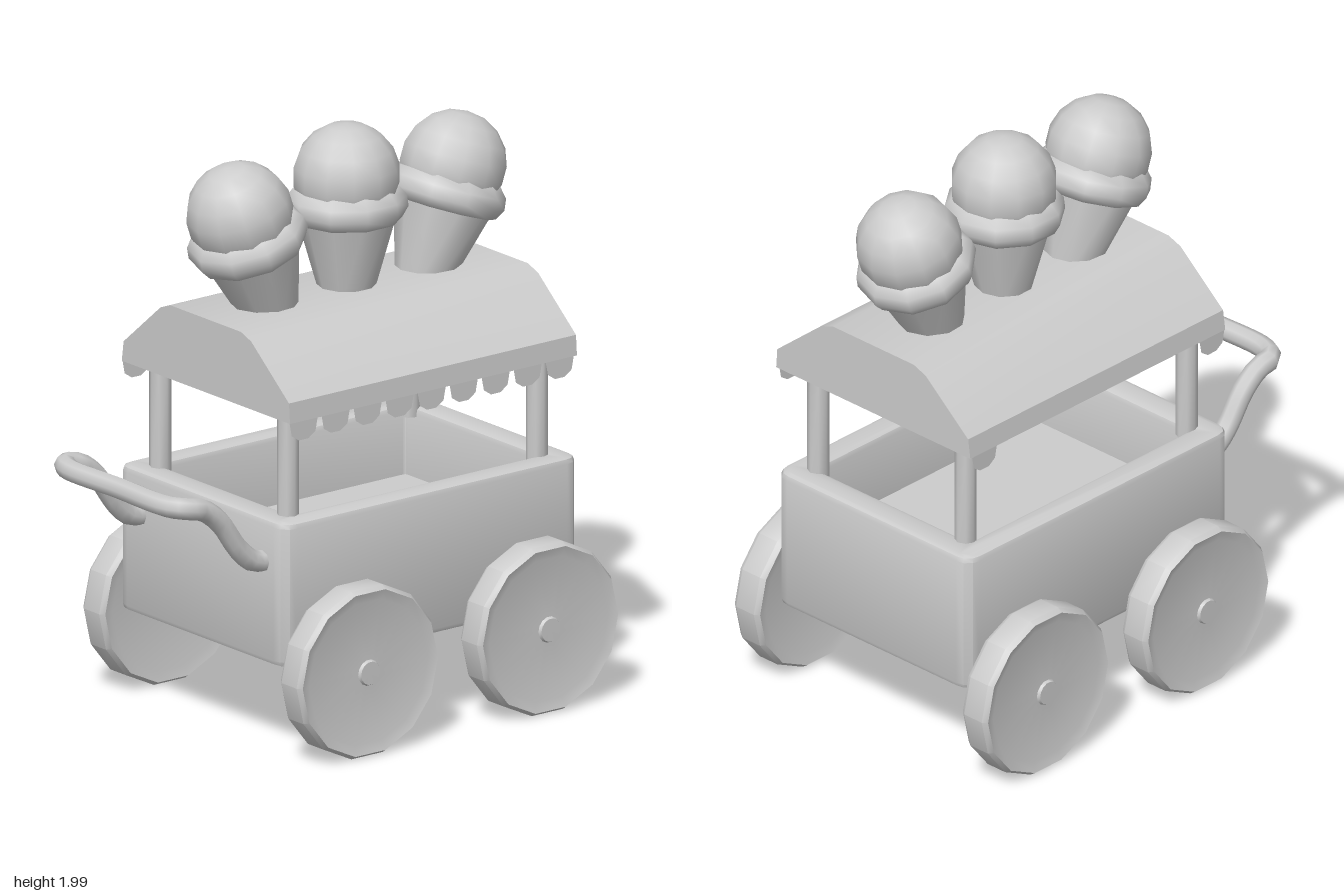
import * as THREE from 'three';
import { toCreasedNormals } from 'three/addons/utils/BufferGeometryUtils.js';

const V = (x, y, z) => new THREE.Vector3(x, y, z);

export function createModel() {
  const model = new THREE.Group();
  model.name = 'iceCreamCart';
  const grey = new THREE.MeshStandardMaterial({ color: 0xcccccc });
  grey.name = 'plain grey';
  const greySheet = new THREE.MeshStandardMaterial({ color: 0xcccccc, side: THREE.DoubleSide });
  greySheet.name = 'plain grey sheet';

  const add = (name, geo, x = 0, y = 0, z = 0, parent = model, mat = grey) => {
    const mesh = new THREE.Mesh(geo, mat);
    mesh.name = name;
    mesh.position.set(x, y, z);
    parent.add(mesh);
    return mesh;
  };
  const crease = (geo, angle = 0.6) => toCreasedNormals(geo, angle);

  // Rounded rectangle outline centred on the origin
  const roundRect = (w, h, r, Type) => {
    const s = new Type(), a = w / 2, b = h / 2;
    s.moveTo(-a + r, -b);
    s.lineTo(a - r, -b);
    s.quadraticCurveTo(a, -b, a, -b + r);
    s.lineTo(a, b - r);
    s.quadraticCurveTo(a, b, a - r, b);
    s.lineTo(-a + r, b);
    s.quadraticCurveTo(-a, b, -a, b - r);
    s.lineTo(-a, -b + r);
    s.quadraticCurveTo(-a, -b, -a + r, -b);
    return s;
  };

  // Open-topped tub: thick rounded walls and an inner floor
  const bevel = 0.02;
  const outline = roundRect(0.89 - 2 * bevel, 1.25 - 2 * bevel, 0.04, THREE.Shape);
  outline.holes.push(roundRect(0.7 + 2 * bevel, 1.04 + 2 * bevel, 0.03, THREE.Path));
  const walls = new THREE.ExtrudeGeometry(outline, {
    depth: 0.5 - 2 * bevel, bevelEnabled: true, bevelSize: bevel,
    bevelThickness: bevel, bevelSegments: 2, curveSegments: 3,
  });
  walls.rotateX(-Math.PI / 2);
  add('tubWalls', crease(walls), 0.015, 0.33 + bevel, -0.165);
  add('tubFloor', new THREE.BoxGeometry(0.76, 0.26, 1.1), 0.015, 0.46, -0.165);

  // Roof with sloping sides
  const roofShape = new THREE.Shape([
    [-0.4, 1.19], [0.49, 1.19], [0.485, 1.26], [0.285, 1.425], [0.23, 1.445],
    [-0.14, 1.445], [-0.195, 1.425], [-0.39, 1.26],
  ].map(([x, y]) => new THREE.Vector2(x, y)));
  const roof = new THREE.ExtrudeGeometry(roofShape, { depth: 1.21, bevelEnabled: false });
  add('roof', crease(roof, 0.7), 0, 0, -0.75);

  // Scalloped trim hanging from the roof edges
  const flap = new THREE.ShapeGeometry(new THREE.Shape([
    [-0.06, 0], [-0.05, -0.05], [-0.02, -0.07], [0.02, -0.07], [0.05, -0.05], [0.06, 0],
  ].map(([x, y]) => new THREE.Vector2(x, y))));
  flap.rotateY(Math.PI / 2);
  for (let i = 0; i < 9; i++) {
    const z = 0.4 - i * 0.135;
    add('trimScallop', flap, 0.487, 1.195, z, model, greySheet);
    if (i === 0 || i === 8) add('trimScallop', flap, -0.397, 1.195, z, model, greySheet);
  }

  // Four roof posts
  for (const x of [-0.315, 0.36])
    for (const z of [0.365, -0.685])
      add('roofPost', crease(new THREE.CylinderGeometry(0.037, 0.037, 0.4, 8), 0.9), x, 1.0, z);

  // Push handle: two curved arms joined by a crossbar
  const side = [[0.44, 0.68], [0.5, 0.69], [0.56, 0.74], [0.64, 0.85], [0.71, 0.905], [0.77, 0.92]];
  const armX = 0.325, midX = 0.018;
  const path = [
    ...side.map(([z, y]) => V(midX - armX, y, z)),
    V(midX - armX + 0.06, 0.92, 0.805),
    V(midX, 0.92, 0.805),
    V(midX + armX - 0.06, 0.92, 0.805),
    ...side.slice().reverse().map(([z, y]) => V(midX + armX, y, z)),
  ];
  add('pushHandle', new THREE.TubeGeometry(
    new THREE.CatmullRomCurve3(path, false, 'centripetal'), 44, 0.037, 8));

  // Wheels with a shallow rim and hub, joined by axles
  const wheelProfile = [
    [0, -0.05], [0.25, -0.05], [0.285, -0.058], [0.297, -0.04], [0.297, 0.04],
    [0.285, 0.058], [0.25, 0.047], [0.045, 0.05], [0.04, 0.06], [0, 0.06],
  ].map(([r, y]) => new THREE.Vector2(r, y));
  const wheelGeo = crease(new THREE.LatheGeometry(wheelProfile, 14), 0.7);
  for (const z of [0.195, -0.565]) {
    for (const s of [-1, 1]) {
      const wheel = add('wheel', wheelGeo, s === 1 ? 0.525 : -0.52, 0.3, z);
      wheel.rotation.z = -s * Math.PI / 2;
    }
    const axle = add('axle', new THREE.CylinderGeometry(0.022, 0.022, 1.0, 8), 0, 0.31, z);
    axle.rotation.z = Math.PI / 2;
  }

  // Three ice cream cones standing on the roof, the outer two leaning away
  const brimProfile = [
    [0.15, -0.02], [0.185, -0.025], [0.205, 0.01], [0.2, 0.05], [0.17, 0.085], [0.12, 0.09],
  ].map(([r, y]) => new THREE.Vector2(r, y));
  const coneGeo = crease(new THREE.CylinderGeometry(0.17, 0.08, 0.32, 10), 0.8);
  const brimGeo = new THREE.LatheGeometry(brimProfile, 10);
  const scoopGeo = new THREE.SphereGeometry(0.18, 12, 9);
  for (const [z, y, tilt] of [[0.305, 1.772, 0.34], [-0.145, 1.82, 0], [-0.595, 1.772, -0.34]]) {
    const cone = new THREE.Group();
    cone.name = 'iceCreamCone';
    cone.position.set(0.03, y, z);
    cone.rotation.x = tilt;
    model.add(cone);
    add('scoop', scoopGeo, 0, 0, 0, cone);
    add('scoopBrim', brimGeo, 0, -0.12, 0, cone, greySheet);
    add('wafer', coneGeo, 0, -0.285, 0, cone);
  }
  return model;
}
